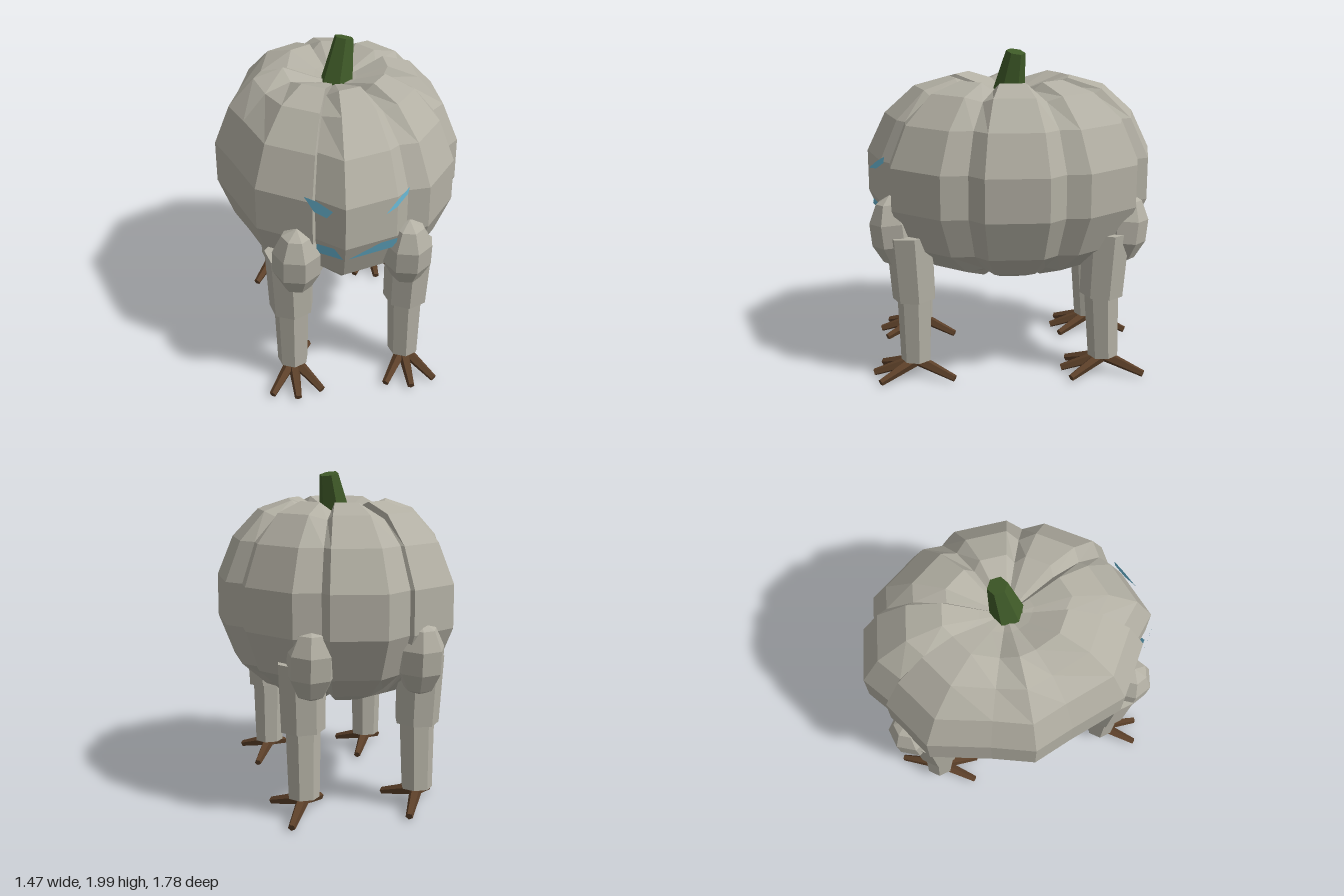
import * as THREE from 'three';

const mat = (name, color, opts = {}) => {
  const m = new THREE.MeshStandardMaterial({ color, flatShading: true, ...opts });
  m.name = name;
  return m;
};

// Cross-section of the ribbed body seen from above: x, z, 1 where a groove runs
const OUTLINE = [
  [-0.07, 0.89, 0], [0.24, 0.79, 0], [0.31, 0.73, 1], [0.44, 0.72, 0], [0.65, 0.43, 0],
  [0.645, 0.27, 1], [0.735, 0.18, 0], [0.735, -0.19, 0], [0.65, -0.29, 1], [0.655, -0.43, 0],
  [0.44, -0.73, 0], [0.28, -0.76, 1], [0.25, -0.83, 0], [-0.07, -0.89, 0], [-0.23, -0.77, 1],
  [-0.25, -0.79, 0], [-0.55, -0.61, 0], [-0.65, -0.25, 1], [-0.735, 0, 0], [-0.65, 0.24, 1],
  [-0.54, 0.59, 0], [-0.24, 0.79, 0], [-0.22, 0.75, 1],
];
// Rows from top to bottom: scale of the outline, height, dip of the grooves
const ROWS = [
  [0.01, 1.72, 0], [0.18, 1.76, -0.02], [0.42, 1.83, -0.05], [0.66, 1.77, -0.03], [0.87, 1.6, 0],
  [1, 1.36, 0], [1, 1.1, 0], [0.87, 0.85, 0], [0.66, 0.71, 0.02], [0.4, 0.63, 0.04],
  [0.16, 0.68, 0.02], [0.01, 0.7, 0],
];

function bodyGeometry() {
  const pos = [], idx = [], n = OUTLINE.length;
  for (const [s, y, dip] of ROWS)
    for (const [x, z, groove] of OUTLINE) pos.push(x * s, y + groove * dip, z * s);
  for (let i = 0; i < ROWS.length - 1; i++)
    for (let j = 0; j < n; j++) {
      const a = i * n + j, b = i * n + (j + 1) % n;
      idx.push(a, a + n, b + n, a, b + n, b);
    }
  const g = new THREE.BufferGeometry();
  g.setAttribute('position', new THREE.Float32BufferAttribute(pos, 3));
  g.setIndex(idx);
  g.computeVertexNormals();
  return g;
}

// Tapered faceted rod from point a to point b
function rod(name, a, b, ra, rb, sides, material) {
  const p = new THREE.Vector3(...a), q = new THREE.Vector3(...b);
  const d = q.clone().sub(p);
  const m = new THREE.Mesh(new THREE.CylinderGeometry(rb, ra, d.length(), sides), material);
  m.position.copy(p).add(q).multiplyScalar(0.5);
  m.quaternion.setFromUnitVectors(new THREE.Vector3(0, 1, 0), d.normalize());
  m.name = name;
  return m;
}

// Flat facial cut-out; depth is a rule of x and y
function facePlate(name, points, depth, material) {
  const g = new THREE.ShapeGeometry(new THREE.Shape(points.map(p => new THREE.Vector2(...p))));
  const p = g.attributes.position;
  for (let i = 0; i < p.count; i++) p.setZ(i, depth(p.getX(i), p.getY(i)));
  g.computeVertexNormals();
  const m = new THREE.Mesh(g, material);
  m.name = name;
  return m;
}

export function createModel() {
  const skin = mat('pale grey', 0xb3b0a4);
  const green = mat('stem green', 0x3f5a28);
  const brown = mat('claw brown', 0x5c4029);
  const glow = mat('face blue', 0x6cbbd8, { side: THREE.DoubleSide });
  const model = new THREE.Group();
  model.name = 'pumpkinWalker';

  const body = new THREE.Mesh(bodyGeometry(), skin);
  body.name = 'body';
  model.add(body);
  model.add(rod('stem', [0.01, 1.7, 0.01], [0.065, 1.985, -0.035], 0.105, 0.06, 6, green));

  // Slanted eyes
  const eyeDepth = x => 0.88 - (Math.abs(x) - 0.14) * 0.7;
  model.add(facePlate('rightEye',
    [[-0.285, 1.4], [-0.235, 1.32], [-0.17, 1.3], [-0.14, 1.35], [-0.22, 1.39]], eyeDepth, glow));
  model.add(facePlate('leftEye',
    [[0.16, 1.3], [0.23, 1.31], [0.3, 1.36], [0.31, 1.4], [0.24, 1.36]], eyeDepth, glow));

  // Mouth in two pieces, following the front ribs
  const mouthDepth = (x, y) =>
    (x < -0.07 ? 0.91 + (x + 0.07) * 0.73 : 0.91 - (x + 0.07) * 0.32) - 0.45 * (1.1 - y);
  model.add(facePlate('rightMouth',
    [[-0.22, 1.02], [-0.08, 1.02], [-0.13, 1.1], [-0.22, 1.1]], mouthDepth, glow));
  model.add(facePlate('leftMouth',
    [[-0.05, 1.02], [0.24, 1.02], [0.24, 1.1], [0.14, 1.1]], mouthDepth, glow));

  // Legs: shoulder, upper leg, lower leg and a foot with three front toes and one back toe
  const toes = [-35, 0, 35, 153];
  for (const side of [-1, 1])
    for (const front of [1, -1]) {
      const leg = new THREE.Group();
      leg.name = (front > 0 ? 'front' : 'back') + (side > 0 ? 'Left' : 'Right') + 'Leg';
      const x = side * 0.35, z = front > 0 ? 0.6 : -0.55;
      const footZ = front > 0 ? 0.6 : -0.57;

      const shoulder = new THREE.Mesh(new THREE.SphereGeometry(1, 7, 5), skin);
      shoulder.scale.set(0.15, 0.225, 0.15);
      shoulder.position.set(side * 0.325, 0.945, front > 0 ? 0.715 : -0.68);
      shoulder.rotation.x = front * 0.1;
      shoulder.name = 'shoulder';
      leg.add(shoulder);

      leg.add(rod('upperLeg', [x, 0.53, z], [x + side * 0.01, 0.94, z + front * 0.02], 0.135, 0.145, 7, skin));
      leg.add(rod('lowerLeg', [x, 0.12, footZ], [x, 0.56, z], 0.095, 0.108, 7, skin));
      for (const deg of toes) {
        const a = deg * Math.PI / 180, s = Math.sin(a), c = Math.cos(a);
        leg.add(rod('toe', [x - s * 0.03, 0.12, footZ - c * 0.03],
          [x + s * 0.265, 0.03, footZ + c * 0.265], 0.042, 0.022, 5, brown));
      }
      model.add(leg);
    }
  return model;
}
